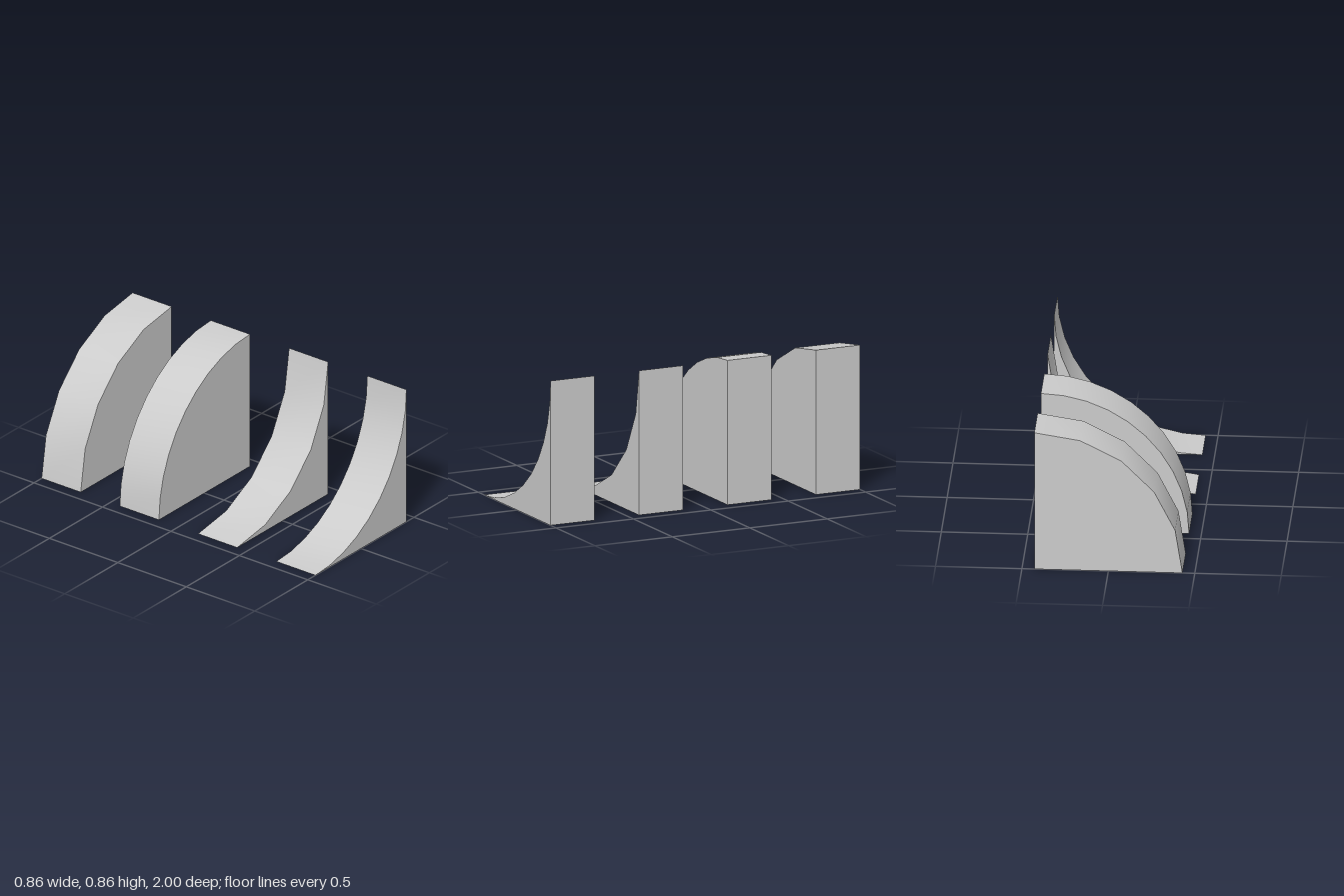
import * as THREE from 'three';
import { toCreasedNormals } from 'three/addons/utils/BufferGeometryUtils.js';

const SIZE = 6 / 7;   // width and height of each block
const DEPTH = 2 / 7;  // thickness, also the gap between blocks
const H = SIZE / 2;

// Quarter-round block: the arc runs from the top right corner to the bottom left one
function quarterBlock(concave, segments) {
  const points = [new THREE.Vector2(-H, 0), new THREE.Vector2(H, 0)];
  for (let i = 0; i < segments; i++) {
    const a = (i / segments) * Math.PI / 2;
    const c = SIZE * Math.cos(a), s = SIZE * Math.sin(a);
    points.push(concave ? new THREE.Vector2(-H + c, SIZE - s) : new THREE.Vector2(H - s, c));
  }
  const geometry = new THREE.ExtrudeGeometry(new THREE.Shape(points), { depth: DEPTH, bevelEnabled: false });
  geometry.translate(0, 0, -DEPTH / 2);
  return toCreasedNormals(geometry, Math.PI / 6); // smooth arc, sharp edges
}

export function createModel() {
  const model = new THREE.Group();
  model.name = 'curvedBlocks';
  const material = new THREE.MeshStandardMaterial({ color: 0xcccccc });

  // Blocks in a row from front to back
  const blocks = [
    ['fineConcaveRamp', true, 10],
    ['coarseConcaveRamp', true, 5],
    ['fineConvexBlock', false, 10],
    ['coarseConvexBlock', false, 5],
  ];
  blocks.forEach(([name, concave, segments], i) => {
    const mesh = new THREE.Mesh(quarterBlock(concave, segments), material);
    mesh.name = name;
    mesh.position.z = (1.5 - i) * 2 * DEPTH;
    model.add(mesh);
  });
  return model;
}
